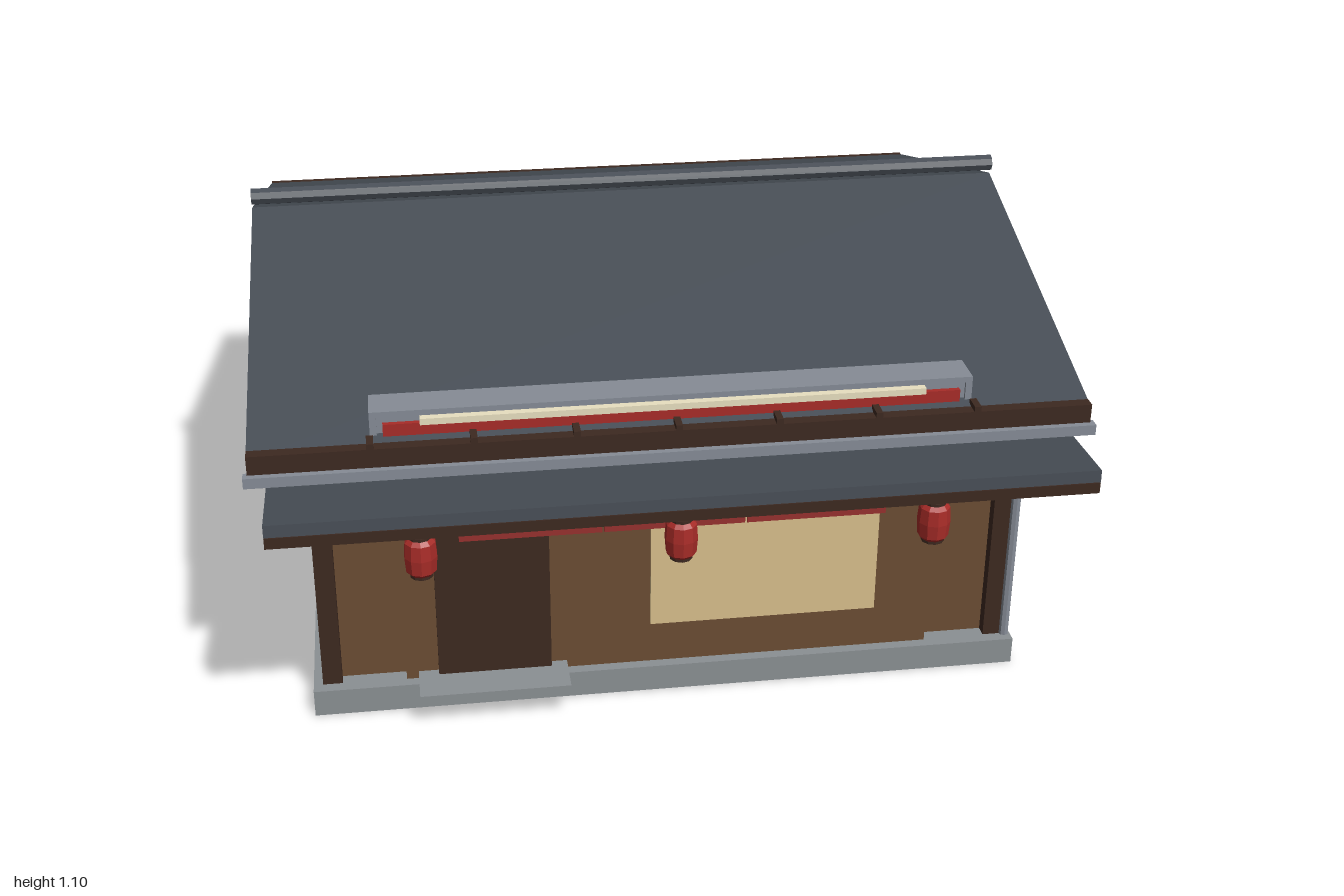
import * as THREE from 'three';

const mat = (color) => new THREE.MeshStandardMaterial({ color, flatShading: true });
const M = {
  roof: mat(0x464c54), wall: mat(0x6b4d33), wood: mat(0x3d2920), stone: mat(0x8b9093),
  metal: mat(0x868c96), red: mat(0xa82c28), cloth: mat(0x96302e), cream: mat(0xd8bf8c),
  pale: mat(0xd6d3ca), dark: mat(0x2b3036), lamp: mat(0xe8dfc0),
};

export function createModel() {
  const model = new THREE.Group();

  const add = (name, geometry, material, x = 0, y = 0, z = 0, parent = model) => {
    const mesh = new THREE.Mesh(geometry, material);
    mesh.name = name;
    mesh.position.set(x, y, z);
    parent.add(mesh);
    return mesh;
  };
  // Box given by its extents on each axis
  const box = (name, material, [x0, x1], [y0, y1], [z0, z1], parent = model) =>
    add(name, new THREE.BoxGeometry(x1 - x0, y1 - y0, z1 - z0), material,
      (x0 + x1) / 2, (y0 + y1) / 2, (z0 + z1) / 2, parent);

  // Foundation, walls and corner posts
  box('foundation', M.stone, [-0.89, 0.89], [0, 0.07], [-0.89, 0.7]);
  box('walls', M.wall, [-0.845, 0.845], [0.07, 0.78], [-0.845, 0.64]);
  for (const s of [-1, 1]) {
    const x = s * 0.843;
    box('backPost', M.wood, [x - 0.024, x + 0.024], [0.07, 0.78], [-0.868, -0.82]);
    box('frontPost', M.wood, [x - 0.024, x + 0.024], [0.07, 0.7], [0.625, 0.67]);
  }
  box('plasterBand', M.pale, [-0.84, 0.84], [0.7, 0.78], [0.63, 0.658]);

  // Shop front with door, window and doorstep
  box('facadePanel', M.wall, [-0.66, 0.66], [0.075, 0.69], [0.63, 0.68]);
  box('door', M.wood, [-0.58, -0.3], [0.075, 0.58], [0.67, 0.7]);
  box('window', M.cream, [-0.05, 0.52], [0.19, 0.57], [0.67, 0.69]);
  box('doorstep', M.stone, [-0.63, -0.26], [0.07, 0.095], [0.67, 0.79]);

  // Gabled roof: triangular section extruded along x
  const gable = new THREE.Shape([
    new THREE.Vector2(-0.8, 0.78), new THREE.Vector2(1, 0.78), new THREE.Vector2(0.1, 1.045),
  ]);
  const roofGeo = new THREE.ExtrudeGeometry(gable, { depth: 1.98, bevelEnabled: false });
  roofGeo.translate(0, 0, -0.99).rotateY(Math.PI / 2);
  add('roof', roofGeo, M.roof);
  const ridge = new THREE.CylinderGeometry(0.022, 0.022, 1.98, 8);
  ridge.rotateZ(Math.PI / 2);
  add('ridgeCap', ridge, M.roof, 0, 1.075, -0.1);
  box('frontFascia', M.wood, [-0.99, 0.99], [0.735, 0.79], [0.77, 0.8]);
  box('backFascia', M.wood, [-0.99, 0.99], [0.73, 0.785], [-1, -0.968]);
  for (let i = -3; i <= 3; i++) {
    const x = i * 0.237;
    box('rafterEnd', M.wood, [x - 0.008, x + 0.008], [0.77, 0.803], [0.755, 0.8]);
  }

  // Gutter and downpipe
  box('gutter', M.metal, [-1, 1], [0.717, 0.743], [0.79, 0.816]);
  add('downpipe', new THREE.CylinderGeometry(0.013, 0.013, 0.63, 8), M.metal, 0.874, 0.385, 0.668);

  // Front awning, tilted slightly upward toward its front edge
  const awning = add('awning', new THREE.BoxGeometry(1.9, 0.03, 0.4), M.roof, 0, 0.696, 0.8);
  awning.rotation.x = -0.065;
  box('awningBeam', M.wood, [-0.95, 0.95], [0.665, 0.692], [0.982, 1]);

  // Sign box: body, raised rim, red panel and lamp strip
  const sign = new THREE.Group();
  sign.name = 'signBox';
  model.add(sign);
  box('signBody', M.metal, [-0.71, 0.71], [0.592, 0.855], [0.652, 0.738], sign);
  box('signPanel', M.red, [-0.68, 0.68], [0.62, 0.825], [0.73, 0.75], sign);
  for (const s of [-1, 1]) {
    const x = s * 0.702, y = 0.7235 + s * 0.125;
    box('signRimSide', M.metal, [x - 0.008, x + 0.008], [0.592, 0.855], [0.73, 0.745], sign);
    box('signRim', M.metal, [-0.71, 0.71], [y - 0.007, y + 0.007], [0.73, 0.745], sign);
  }
  box('signLamp', M.lamp, [-0.595, 0.595], [0.822, 0.838], [0.735, 0.757], sign);

  // Door curtain in three panels
  for (let i = -1; i <= 1; i++) {
    const x = i * 0.347;
    box('curtainPanel', M.cloth, [x - 0.171, x + 0.171], [0.5, 0.64], [0.742, 0.748]);
  }

  // Hanging lanterns with ribs and dark caps
  for (const x of [-0.61, 0, 0.61]) {
    const lantern = new THREE.Group();
    lantern.name = 'lantern';
    lantern.position.set(x, 0.53, 0.842);
    model.add(lantern);
    const profile = [[0.026, -0.05], [0.037, -0.038], [0.04, 0], [0.037, 0.038], [0.026, 0.05]]
      .map(([r, y]) => new THREE.Vector2(r, y));
    add('lanternBody', new THREE.LatheGeometry(profile, 10), M.red, 0, 0, 0, lantern);
    for (const y of [-0.05, 0.05]) {
      add('lanternCap', new THREE.CylinderGeometry(0.028, 0.028, 0.01, 10), M.wood, 0, y, 0, lantern);
    }
    add('lanternCord', new THREE.CylinderGeometry(0.003, 0.003, 0.13, 5), M.wood, 0, 0.11, 0, lantern);
  }

  // Air conditioner on the side wall
  const cooler = new THREE.Group();
  cooler.name = 'airConditioner';
  model.add(cooler);
  box('coolerCase', M.pale, [0.865, 0.942], [0.443, 0.592], [-0.01, 0.118], cooler);
  box('coolerBracket', M.metal, [0.84, 0.95], [0.424, 0.434], [0.045, 0.065], cooler);
  box('coolerFoot', M.metal, [0.88, 0.92], [0.432, 0.445], [0.045, 0.065], cooler);
  box('coolerMount', M.metal, [0.84, 0.87], [0.47, 0.56], [0.03, 0.08], cooler);
  const fan = new THREE.CylinderGeometry(0.048, 0.048, 0.016, 16);
  fan.rotateX(Math.PI / 2).scale(0.75, 1, 1);
  add('coolerFan', fan, M.dark, 0.904, 0.518, -0.016, cooler);

  return model;
}
